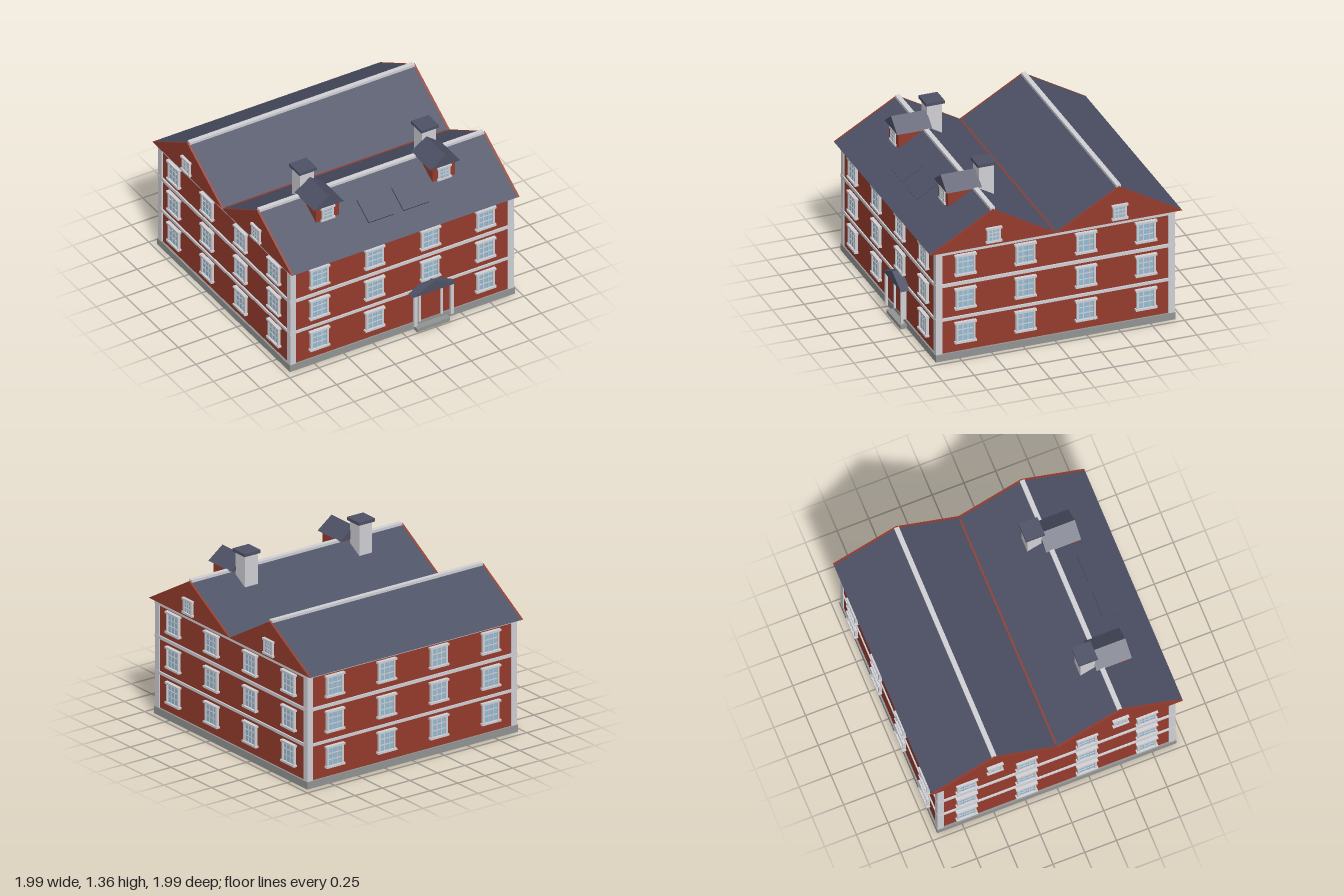
import * as THREE from 'three';

const mat = (name, color) => {
  const m = new THREE.MeshStandardMaterial({ color });
  m.name = name;
  return m;
};

export function createModel() {
  const red = mat('wall red', 0x963b2c);
  const trim = mat('trim white', 0xd0d0d5);
  const slate = mat('roof slate', 0x4d5165);
  const glass = mat('window glass', 0x94bcd6);
  const stone = mat('plinth grey', 0x929393);

  const house = new THREE.Group();
  house.name = 'house';

  const add = (parent, name, geometry, material, x = 0, y = 0, z = 0) => {
    const mesh = new THREE.Mesh(geometry, material);
    mesh.name = name;
    mesh.position.set(x, y, z);
    parent.add(mesh);
    return mesh;
  };
  const box = (parent, name, material, [w, h, d], [x, y, z]) =>
    add(parent, name, new THREE.BoxGeometry(w, h, d), material, x, y, z);

  // Triangular prism: base centred at the origin, running along +z
  const prism = (width, height, depth) => {
    const s = new THREE.Shape([
      new THREE.Vector2(-width / 2, 0),
      new THREE.Vector2(width / 2, 0),
      new THREE.Vector2(0, height),
    ]);
    return new THREE.ExtrudeGeometry(s, { depth, bevelEnabled: false });
  };

  // Window facing +z, origin at its centre on the wall face
  const makeWindow = (w, h, depth) => {
    const g = new THREE.Group();
    g.name = 'window';
    const f = 0.016;
    const iw = w - 2 * f - 0.014, ih = h - 2 * f;
    const fd = depth * 0.75;
    box(g, 'glass', glass, [iw, ih, 0.008], [0, 0, depth * 0.3]);
    for (const s of [-1, 1]) {
      box(g, 'jamb', trim, [f, ih, fd], [s * (iw / 2 + f / 2 - 0.003), 0, fd / 2]);
      box(g, s > 0 ? 'header' : 'sill', trim, [w, f, depth], [0, s * (ih / 2 + f / 2), depth / 2]);
    }
    for (const k of [-1 / 6, 1 / 6]) {
      box(g, 'verticalBar', trim, [0.007, ih, 0.008], [k * iw, 0, depth * 0.3 + 0.004]);
      box(g, 'horizontalBar', trim, [iw, 0.007, 0.008], [0, k * ih, depth * 0.3 + 0.004]);
    }
    return g;
  };
  const placeWindow = (parent, w, h, depth, x, y, z, turn = 0) => {
    const g = makeWindow(w, h, depth);
    g.position.set(x, y, z);
    g.rotation.y = turn;
    parent.add(g);
  };

  // Main block: plinth, walls, corner boards, floor bands
  const cz = -0.004, wallX = 0.945, wallZ = 0.93;
  box(house, 'plinth', stone, [1.92, 0.056, 1.885], [0, 0.028, cz]);
  box(house, 'walls', red, [wallX * 2, 0.85, wallZ * 2], [0, 0.475, cz]);
  for (const sx of [-1, 1])
    for (const sz of [-1, 1])
      box(house, 'cornerBoard', trim, [0.05, 0.84, 0.05], [sx * 0.93, 0.475, cz + sz * 0.913]);
  for (const [y, h] of [[0.335, 0.022], [0.615, 0.026], [0.881, 0.028]])
    box(house, 'floorBand', trim, [1.915, h, 1.88], [0, y, cz]);

  // Windows on all four walls, leaving the front bay for the door
  const doorX = 0.237;
  [0.213, 0.491, 0.768].forEach((y, floor) => {
    [-0.71, -0.238, 0.238, 0.71].forEach((p, i) => {
      if (floor !== 0 || i !== 2) placeWindow(house, 0.17, 0.172, 0.03, p, y, cz + wallZ);
      placeWindow(house, 0.17, 0.172, 0.03, p, y, cz - wallZ, Math.PI);
      placeWindow(house, 0.17, 0.172, 0.03, wallX, y, cz + p, Math.PI / 2);
      placeWindow(house, 0.17, 0.172, 0.03, -wallX, y, cz + p, -Math.PI / 2);
    });
  });

  // Twin roofs with red gables and white ridge caps
  const eave = 0.896, rise = 0.288, span = 0.99, pitch = Math.atan2(rise, span / 2);
  for (const s of [1, -1]) {
    const z = cz + s * span / 2;
    const roof = add(house, 'roof', prism(span, rise, 1.914), slate, -0.957, eave, z);
    roof.rotation.y = Math.PI / 2;
    for (const x of [-0.973, 0.957]) {
      const gable = add(house, 'gable', prism(span, rise, 0.016), red, x, eave, z);
      gable.rotation.y = Math.PI / 2;
    }
    box(house, 'ridgeCap', trim, [1.92, 0.026, 0.037], [0, 1.181, z]);
    for (const sx of [-1, 1])
      placeWindow(house, 0.128, 0.124, 0.022, sx * 0.973, 0.982, z, sx * Math.PI / 2);
  }

  // Dormers and chimneys
  for (const s of [-1, 1]) {
    const dormer = new THREE.Group();
    dormer.name = 'dormer';
    dormer.position.x = s * 0.497;
    house.add(dormer);
    box(dormer, 'dormerWalls', red, [0.195, 0.128, 0.23], [0, 1.128, 0.585]);
    add(dormer, 'dormerRoof', prism(0.255, 0.096, 0.277), slate, 0, 1.19, 0.445);
    placeWindow(dormer, 0.12, 0.115, 0.015, 0, 1.118, 0.7);

    const chimney = new THREE.Group();
    chimney.name = 'chimney';
    chimney.position.set(s * 0.521, 0, 0.392);
    house.add(chimney);
    box(chimney, 'chimneyShaft', trim, [0.117, 0.29, 0.117], [0, 1.195, 0]);
    box(chimney, 'chimneyCap', slate, [0.148, 0.024, 0.148], [0, 1.35, 0]);
  }

  // Roof hatches on the front slope
  for (const x of [-0.112, 0.185]) {
    const hatch = box(house, 'roofHatch', slate, [0.216, 0.014, 0.198], [x, 1.051, 0.741]);
    hatch.rotation.x = pitch;
  }

  // Entrance: step, door with frame, posts and small pediment roof
  const front = cz + wallZ;
  box(house, 'doorStep', stone, [0.28, 0.03, 0.06], [doorX, 0.015, 0.96]);
  box(house, 'door', red, [0.172, 0.25, 0.009], [doorX, 0.18, front + 0.004]);
  for (const s of [-1, 1]) {
    box(house, 'doorJamb', trim, [0.018, 0.265, 0.024], [doorX + s * 0.094, 0.188, front + 0.012]);
    box(house, 'porchPost', trim, [0.027, 0.27, 0.018], [doorX + s * 0.156, 0.195, 0.986]);
  }
  box(house, 'doorLintel', trim, [0.206, 0.018, 0.024], [doorX, 0.312, front + 0.012]);
  add(house, 'porchRoof', prism(0.37, 0.085, 0.08), slate, doorX, 0.33, 0.92);

  return house;
}
